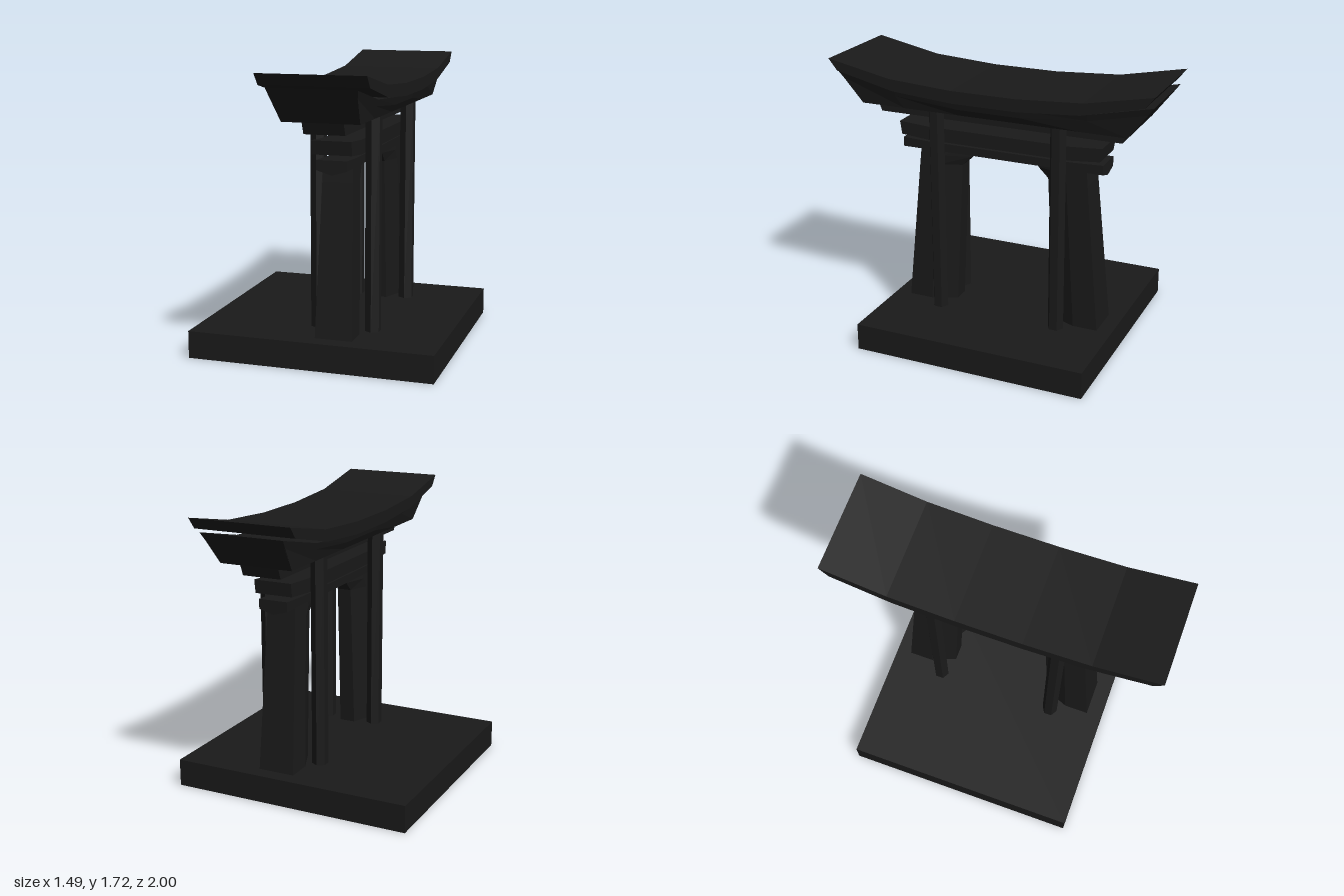
import * as THREE from 'three';

const material = new THREE.MeshStandardMaterial({ color: 0x1a1a1a, flatShading: true });

// Skin over a row of matching cross-sections, counter-clockwise seen from the far end.
function loft(rings) {
  const pos = [];
  const tri = (a, b, c) => pos.push(...a, ...b, ...c);
  const n = rings[0].length;
  for (let r = 0; r < rings.length - 1; r++) {
    for (let i = 0; i < n; i++) {
      const j = (i + 1) % n, a = rings[r], b = rings[r + 1];
      tri(a[i], a[j], b[j]);
      tri(a[i], b[j], b[i]);
    }
  }
  const first = rings[0], last = rings[rings.length - 1];
  for (let i = 1; i < n - 1; i++) {
    tri(last[0], last[i], last[i + 1]);
    tri(first[0], first[i + 1], first[i]);
  }
  const geo = new THREE.BufferGeometry();
  geo.setAttribute('position', new THREE.Float32BufferAttribute(pos, 3));
  geo.computeVertexNormals();
  return geo;
}

// Beam along z. Each station is a list of levels [z, y, halfWidth] from top to
// bottom; stations run from the middle to the +z end and are mirrored to -z.
function beam(stations) {
  const ring = (levels, s) => {
    const left = levels.map(([z, y, w]) => [-w, y, s * z]);
    const right = levels.map(([z, y, w]) => [w, y, s * z]).reverse();
    return [...left, ...right];
  };
  return loft([
    ...[...stations].reverse().map((l) => ring(l, -1)),
    ...stations.map((l) => ring(l, 1)),
  ]);
}

export function createModel() {
  const model = new THREE.Group();
  model.name = 'gate';
  const add = (name, geo, x, y, z, parent = model) => {
    const mesh = new THREE.Mesh(geo, material);
    mesh.name = name;
    mesh.position.set(x, y, z);
    parent.add(mesh);
    return mesh;
  };
  const cx = 0.125; // the gate stands off the middle of its base

  add('base', new THREE.BoxGeometry(1.485, 0.165, 1.45), 0, 0.0825, -0.013);

  // Curved roof slab with slanted ends
  const rw = 0.312;
  add('roof', beam([
    [[0.2, 1.615, rw], [0.2, 1.54, rw]],
    [[0.6, 1.64, rw], [0.58, 1.568, rw]],
    [[1, 1.72, rw], [0.945, 1.652, rw]],
  ]), cx, 0, 0);

  // Hood under the roof, curved on top and flat below
  add('hood', beam([
    [[0.2, 1.533, 0.257], [0.2, 1.485, 0.245], [0.2, 1.445, 0.225]],
    [[0.6, 1.558, 0.257], [0.6, 1.52, 0.245], [0.55, 1.445, 0.225]],
    [[0.98, 1.642, 0.257], [0.945, 1.595, 0.245], [0.83, 1.445, 0.225]],
  ]), cx, 0, 0);

  // Narrow beam carrying the hood
  add('topBeam', beam([
    [[0.795, 1.447, 0.12], [0.765, 1.373, 0.12]],
  ]), cx, 0, -0.002);

  // Gently upturned middle beam
  add('middleBeam', beam([
    [[0.45, 1.31, 0.118], [0.45, 1.226, 0.118]],
    [[0.647, 1.323, 0.118], [0.635, 1.242, 0.118]],
  ]), cx, 0, -0.003);

  // Lower beam with a keeled underside and upturned ends
  add('lowerBeam', beam([
    [[0.45, 1.205, 0.09], [0.45, 1.155, 0.09], [0.45, 1.13, 0.005]],
    [[0.643, 1.213, 0.09], [0.643, 1.155, 0.09], [0.643, 1.13, 0.005]],
  ]), cx, 0, -0.005);

  // Leaning legs with chamfered inner sides that flare into brackets
  const legRing = (y, outer, inner, w, n) => {
    const mid = outer - (outer - inner) * 0.5;
    return [[-w, y, outer], [w, y, outer], [w, y, mid], [n, y, inner], [-n, y, inner], [-w, y, mid]];
  };
  const legGeo = loft([
    legRing(0.16, 0.63, 0.326, 0.113, 0.05),
    legRing(1.07, 0.543, 0.279, 0.092, 0.045),
    legRing(1.13, 0.537, 0.218, 0.09, 0.045),
    legRing(1.2, 0.53, 0.218, 0.088, 0.045),
  ]);
  const postGeo = new THREE.CylinderGeometry(0.049, 0.049, 1.29, 6);
  for (const s of [1, -1]) {
    const leg = add(s > 0 ? 'frontLeg' : 'backLeg', legGeo, cx, 0, -0.016);
    if (s < 0) leg.rotation.y = Math.PI;

    // Six-sided posts on both sides of each leg
    for (const t of [1, -1]) {
      add((s > 0 ? 'front' : 'back') + (t > 0 ? 'LeftPost' : 'RightPost'),
        postGeo, cx + t * 0.167, 0.805, -0.016 + s * 0.386);
    }
  }
  return model;
}
